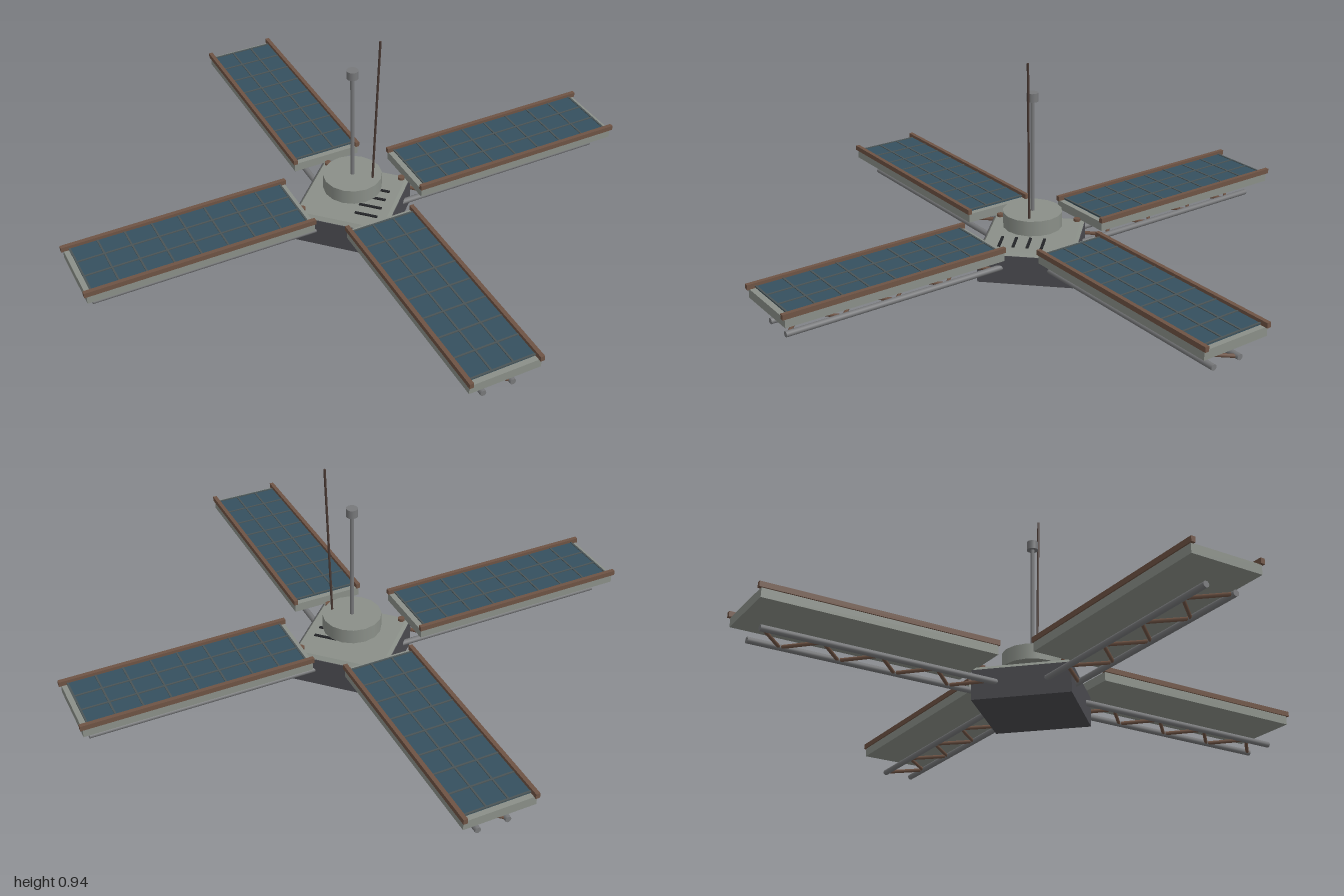
import * as THREE from 'three';

const mat = (name, color, extra = {}) => {
  const m = new THREE.MeshStandardMaterial({ color, ...extra });
  m.name = name;
  return m;
};

export function createModel() {
  const grey = mat('light grey metal', 0x8a8f88);
  const dark = mat('dark grey hull', 0x4a4a4f);
  const blue = mat('solar cell blue', 0x35505f);
  const line = mat('cell divider grey', 0x4a5456);
  const brown = mat('copper brown trim', 0x6e5344);
  const black = mat('vent black', 0x232427);
  const tube = mat('boom grey', 0x77787a);
  const whip = mat('whip dark brown', 0x4a3a34);

  const model = new THREE.Group();
  model.name = 'satellite';

  const add = (parent, name, geometry, material, x = 0, y = 0, z = 0) => {
    const mesh = new THREE.Mesh(geometry, material);
    mesh.name = name;
    mesh.position.set(x, y, z);
    parent.add(mesh);
    return mesh;
  };
  const box = (parent, name, material, w, h, d, x, y, z) =>
    add(parent, name, new THREE.BoxGeometry(w, h, d), material, x, y, z);
  // Round bar between two points
  const rod = (parent, name, material, a, b, r, sides = 10) => {
    const from = new THREE.Vector3(...a), to = new THREE.Vector3(...b);
    const dir = to.clone().sub(from);
    const mesh = add(parent, name, new THREE.CylinderGeometry(r, r, dir.length(), sides), material);
    mesh.position.copy(from).add(to).multiplyScalar(0.5);
    mesh.quaternion.setFromUnitVectors(new THREE.Vector3(0, 1, 0), dir.normalize());
    return mesh;
  };

  // Hull and bevelled deck
  box(model, 'hull', dark, 0.406, 0.127, 0.406, 0, 0.1035, 0);
  const deckGeo = new THREE.BoxGeometry(0.4, 0.016, 0.4);
  const p = deckGeo.attributes.position;
  for (let i = 0; i < p.count; i++) {
    if (p.getY(i) > 0) p.setXYZ(i, p.getX(i) * 0.94, p.getY(i), p.getZ(i) * 0.94);
  }
  deckGeo.computeVertexNormals();
  add(model, 'deck', deckGeo, grey, 0, 0.175, 0);
  for (const x of [-0.17, 0.17]) {
    for (const z of [-0.17, 0.17]) {
      add(model, 'deckBolt', new THREE.CylinderGeometry(0.015, 0.015, 0.014, 8), brown, x, 0.188, z);
    }
  }
  for (let i = 0; i < 4; i++) {
    box(model, 'deckVent', black, 0.1, 0.006, 0.012, 0.1, 0.185, -0.06 + i * 0.06);
  }

  // Raised hub, mast and whip antenna
  add(model, 'hub', new THREE.CylinderGeometry(0.127, 0.127, 0.066, 16), grey, 0, 0.262, 0);
  rod(model, 'mast', tube, [0, 0.29, 0], [0, 0.79, 0], 0.009);
  add(model, 'mastCap', new THREE.CylinderGeometry(0.025, 0.025, 0.037, 12), tube, 0, 0.802, 0);
  rod(model, 'whipAntenna', whip, [0.09, 0.285, 0], [0.117, 0.98, 0], 0.005, 6);

  // Four diagonal arms, each a solar panel above a lattice boom
  const cols = 8, rows = 3, inner = 0.28, outer = 1.215, half = 0.142;
  for (let k = 0; k < 4; k++) {
    const arm = new THREE.Group();
    arm.name = 'solarArm';
    arm.rotation.y = Math.PI / 4 + k * Math.PI / 2;
    model.add(arm);

    box(arm, 'panelTray', grey, 0.985, 0.039, 0.31, 0.747, 0.2055, 0);
    box(arm, 'solarCells', blue, outer - inner, 0.008, half * 2, (inner + outer) / 2, 0.229, 0);
    for (let i = 0; i <= cols; i++) {
      const x = inner + (outer - inner) * i / cols;
      box(arm, 'cellDivider', line, 0.008, 0.004, half * 2, x, 0.234, 0);
    }
    for (let j = 1; j < rows; j++) {
      const z = -half + 2 * half * j / rows;
      box(arm, 'cellDivider', line, outer - inner, 0.004, 0.008, (inner + outer) / 2, 0.234, z);
    }

    for (const s of [-1, 1]) {
      box(arm, 'panelRail', brown, 1.0, 0.022, 0.018, 0.75, 0.235, s * 0.152);
      rod(arm, 'boomTube', tube, [0.18, 0.11, s * 0.065], [1.2, 0.11, s * 0.065], 0.013);
    }

    // Zigzag bracing between the boom tubes
    const bays = 8, start = 0.24, step = (1.19 - start) / bays;
    for (let i = 0; i < bays; i++) {
      const s = i % 2 ? 1 : -1, x = start + i * step;
      rod(arm, 'boomBrace', brown, [x, 0.11, s * 0.065], [x + step, 0.11, -s * 0.065], 0.008, 6);
    }
  }
  return model;
}
